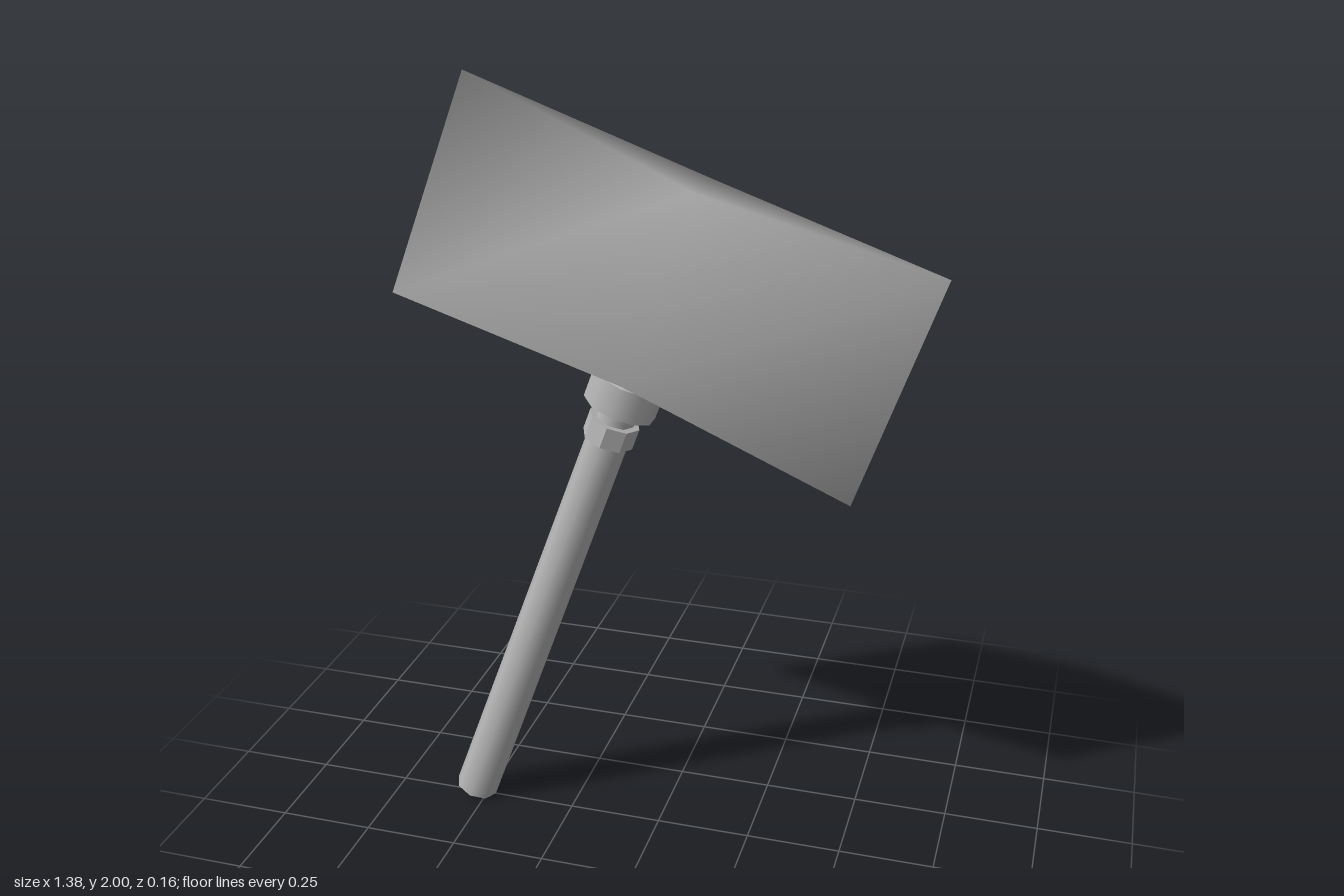
import * as THREE from 'three';

export function createModel() {
  const metal = new THREE.MeshStandardMaterial({ color: 0xb4b4b4 });
  metal.name = 'grey metal';
  const model = new THREE.Group();
  model.name = 'axe';

  const add = (name, geometry) => {
    const mesh = new THREE.Mesh(geometry, metal);
    mesh.name = name;
    model.add(mesh);
    return mesh;
  };

  // Cylinder between two heights along the axe's own axis
  const rod = (name, bottom, top, rBottom, rTop, sides) => {
    const g = new THREE.CylinderGeometry(rTop, rBottom, top - bottom, sides);
    g.translate(0, (bottom + top) / 2, 0);
    return add(name, g);
  };

  // Long handle, neck and locking ring
  rod('handle', 0, 1.2, 0.058, 0.054, 8);
  rod('neck', 1.19, 1.28, 0.05, 0.05, 8);
  const ring = rod('ring', 1.165, 1.222, 0.067, 0.067, 8);
  ring.geometry = ring.geometry.toNonIndexed();
  ring.geometry.computeVertexNormals();

  // Socket that runs up into the blades
  rod('socket', 1.258, 1.34, 0.094, 0.094, 10).scale.z = 0.86;
  rod('socketTop', 1.34, 1.385, 0.094, 0.04, 10).scale.z = 0.86;

  // Double blade: diamond section, thick in the middle and sharp at both edges
  const ringAt = (mid, tipR, tipL, uR, uL) => [
    0, mid, 0.077, uR, tipR, 0, 0, mid, -0.077, uL, tipL, 0,
  ];
  const blade = new THREE.BufferGeometry();
  blade.setAttribute('position', new THREE.Float32BufferAttribute([
    ...ringAt(1.345, 1.273, 1.284, 0.615, -0.638),
    ...ringAt(1.858, 1.89, 1.88, 0.605, -0.627),
  ], 3));
  const faces = [];
  for (let i = 0; i < 4; i++) {
    const j = (i + 1) % 4;
    faces.push(i, j, j + 4, i, j + 4, i + 4);
  }
  faces.push(7, 4, 6, 4, 5, 6, 3, 2, 0, 0, 2, 1);
  blade.setIndex(faces);
  blade.computeVertexNormals();
  add('doubleBlade', blade);

  // Lean the whole axe toward its left
  model.rotation.z = -THREE.MathUtils.degToRad(20);
  model.position.set(-0.53, 0.02, 0);
  const root = new THREE.Group();
  root.name = 'leaningAxe';
  root.add(model);
  return root;
}
